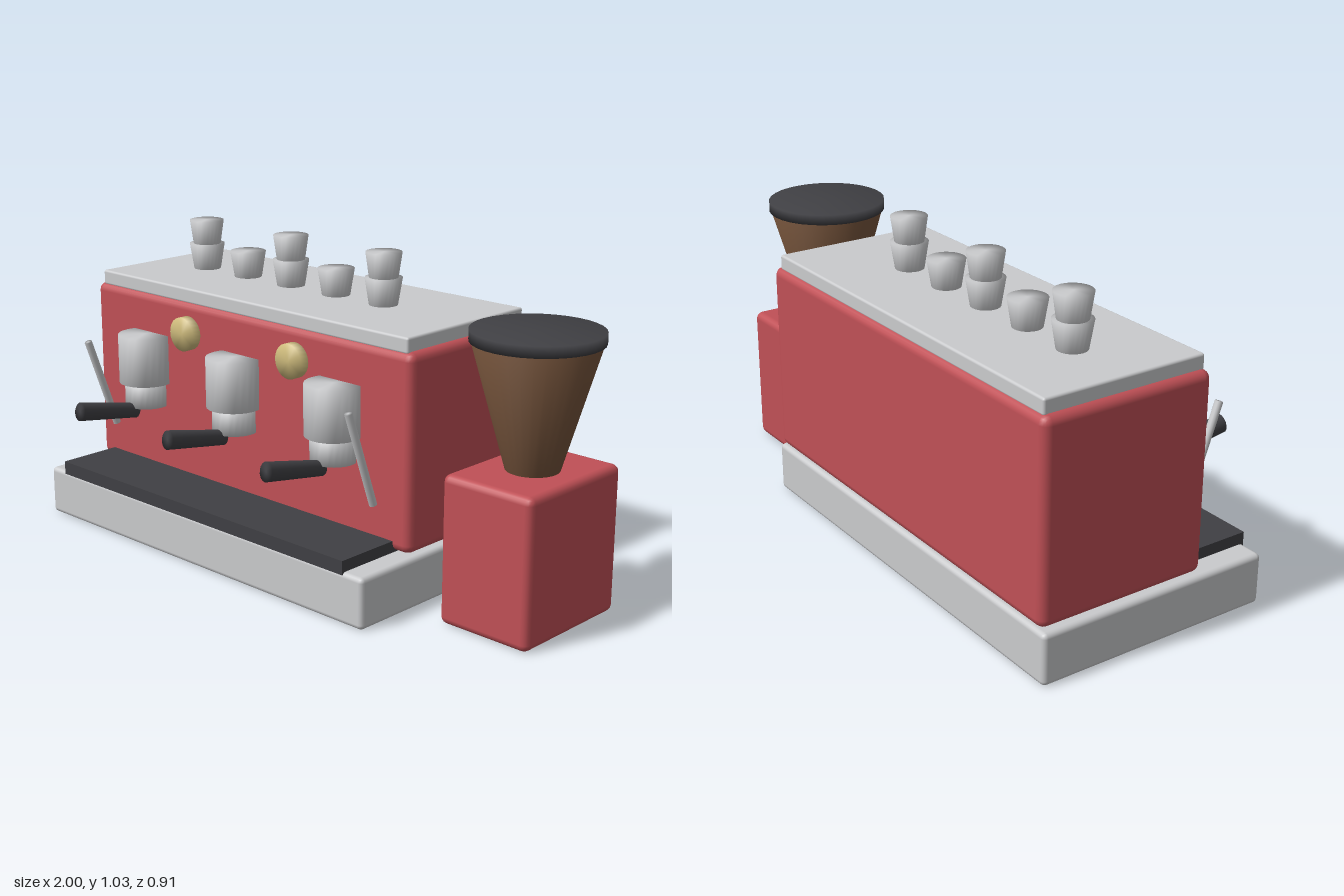
import * as THREE from 'three';
import { RoundedBoxGeometry } from 'three/addons/geometries/RoundedBoxGeometry.js';
import { mergeVertices } from 'three/addons/utils/BufferGeometryUtils.js';

const paint = (name, color) => {
  const m = new THREE.MeshStandardMaterial({ color });
  m.name = name;
  return m;
};

export function createModel() {
  const red = paint('red enamel', 0xc05056);
  const steel = paint('steel', 0xcacbcd);
  const dark = paint('dark plastic', 0x404044);
  const brown = paint('coffee brown', 0x73523a);
  const brass = paint('brass', 0xcdba7c);

  const root = new THREE.Group();
  root.name = 'espressoStation';

  const add = (name, geometry, material, parent = root) => {
    const mesh = new THREE.Mesh(geometry, material);
    mesh.name = name;
    parent.add(mesh);
    return mesh;
  };

  // Box given by its limits on each axis; radius 0 keeps the edges sharp
  const box = (name, [x0, x1], [y0, y1], [z0, z1], radius, material) => {
    const size = [x1 - x0, y1 - y0, z1 - z0];
    const geometry = radius
      ? new RoundedBoxGeometry(...size, 2, radius)
      : new THREE.BoxGeometry(...size);
    const mesh = add(name, geometry, material);
    mesh.position.set((x0 + x1) / 2, (y0 + y1) / 2, (z0 + z1) / 2);
    return mesh;
  };

  // Round part between two points, shaded smoothly over its rims
  const rod = (name, from, to, rFrom, rTo, material, parent = root, sides = 24) => {
    const a = new THREE.Vector3(...from);
    const b = new THREE.Vector3(...to);
    const dir = b.clone().sub(a);
    let geometry = new THREE.CylinderGeometry(rTo, rFrom, dir.length(), sides);
    geometry.deleteAttribute('uv');
    geometry.deleteAttribute('normal');
    geometry = mergeVertices(geometry);
    geometry.computeVertexNormals();
    const mesh = add(name, geometry, material, parent);
    mesh.position.copy(a).add(b).multiplyScalar(0.5);
    mesh.quaternion.setFromUnitVectors(new THREE.Vector3(0, 1, 0), dir.normalize());
    return mesh;
  };

  // Machine housing
  box('base', [-1, 0.51], [0, 0.168], [-0.457, 0.357], 0.016, steel);
  box('body', [-0.985, 0.497], [0.172, 0.812], [-0.457, 0.13], 0.028, red);
  box('topTray', [-0.96, 0.47], [0.805, 0.857], [-0.442, 0.118], 0.008, steel);
  box('dripTray', [-0.92, 0.43], [0.16, 0.206], [0.05, 0.357], 0, dark);

  // Brew groups with their handles
  for (const x of [-0.693, -0.245, 0.205]) {
    const brew = new THREE.Group();
    brew.name = 'brewGroup';
    brew.position.x = x;
    root.add(brew);
    rod('brewHead', [0, 0.508, 0.16], [0, 0.677, 0.16], 0.093, 0.093, steel, brew);
    rod('filterHolder', [0, 0.425, 0.158], [0, 0.508, 0.158], 0.076, 0.076, steel, brew);
    rod('filterHandle', [0, 0.412, 0.21], [0, 0.458, 0.452], 0.026, 0.032, dark, brew, 16).scale.x = 0.85;
  }

  // Gauges
  for (const x of [-0.497, 0.01]) {
    rod('gauge', [x, 0.708, 0.12], [x, 0.708, 0.163], 0.058, 0.058, brass);
  }

  // Steam wands
  for (const x of [-0.864, 0.375]) {
    rod('steamWand', [x, 0.32, 0.16], [x, 0.638, 0.274], 0.013, 0.013, steel, root, 12);
  }

  // Cups, with a second one stacked on every other
  for (let i = 0; i < 5; i++) {
    const x = -0.722 + i * 0.2105;
    rod('cup', [x, 0.855, -0.164], [x, 0.947, -0.164], 0.047, 0.062, steel);
    if (i % 2 === 0) rod('stackedCup', [x, 0.94, -0.164], [x, 1.03, -0.164], 0.047, 0.06, steel);
  }

  // Grinder
  const gx = 0.798, gz = -0.078;
  box('grinderBody', [0.633, 0.963], [0, 0.478], [-0.302, 0.147], 0.024, red);
  rod('beanHopper', [gx, 0.465, gz], [gx, 0.875, gz], 0.08, 0.197, brown, root, 32);
  rod('hopperLid', [gx, 0.87, gz], [gx, 0.905, gz], 0.202, 0.202, dark, root, 32);

  return root;
}
